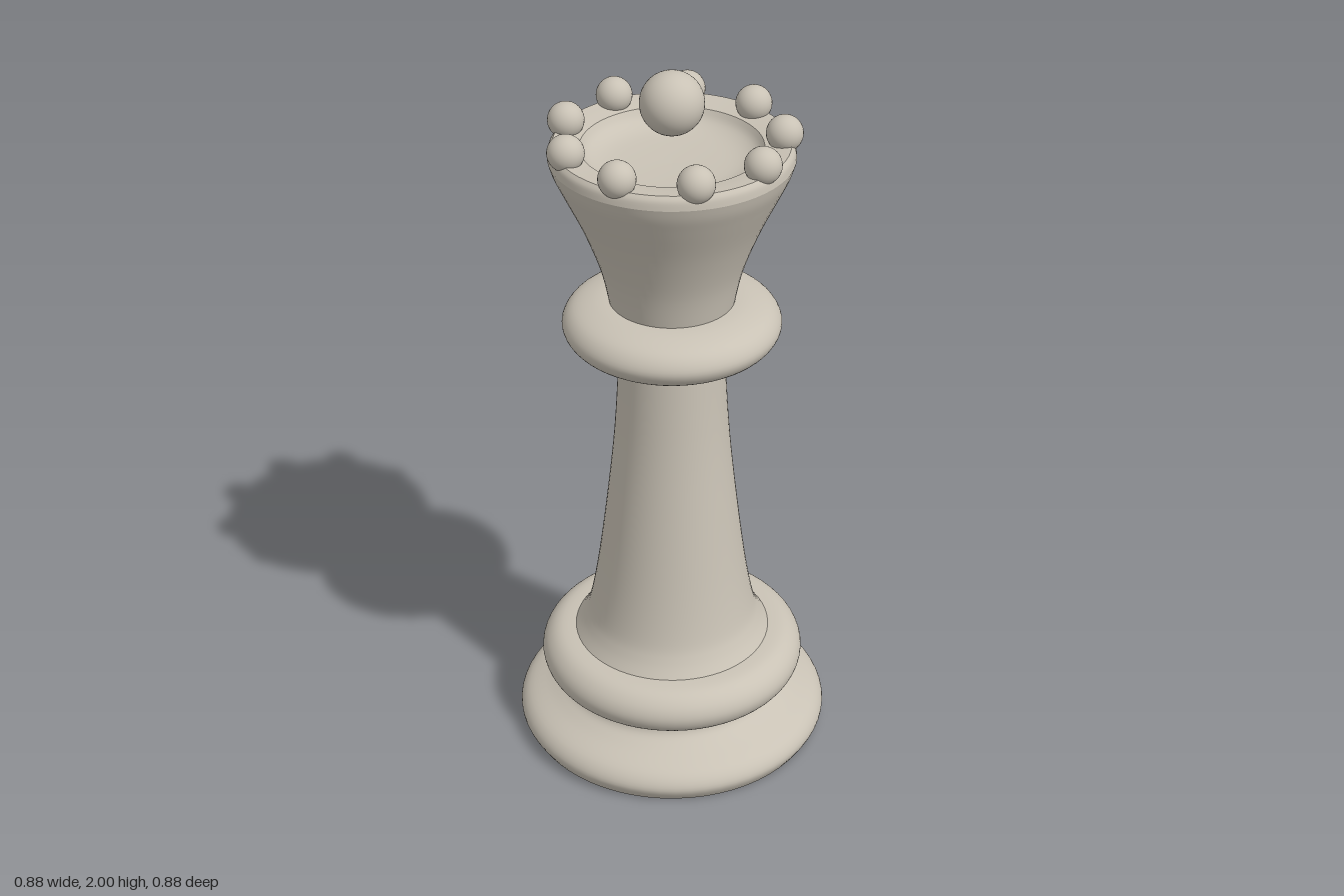
import * as THREE from 'three';

const SEGMENTS = 64;

export function createModel() {
  const group = new THREE.Group();
  const stone = new THREE.MeshStandardMaterial({ color: 0xc9c2b5 });
  stone.name = 'warmStone';

  const add = (name, geometry, x = 0, y = 0, z = 0) => {
    const mesh = new THREE.Mesh(geometry, stone);
    mesh.name = name;
    mesh.position.set(x, y, z);
    group.add(mesh);
  };

  // Turned part: a smooth curve through [radius, height] points, listed from bottom to top
  const turned = (name, points, steps = 24) => {
    const curve = new THREE.SplineCurve(points.map(([r, y]) => new THREE.Vector2(r, y)));
    add(name, new THREE.LatheGeometry(curve.getPoints(steps), SEGMENTS));
  };

  // Foot, with a flat underside
  const underside = new THREE.CircleGeometry(0.42, SEGMENTS);
  underside.rotateX(Math.PI / 2);
  add('underside', underside);
  turned('foot', [[0.42, 0], [0.438, 0.04], [0.415, 0.08], [0.35, 0.115], [0.315, 0.14], [0.305, 0.175]]);

  // Lower ring
  turned('lowerRing', [[0.25, 0.163], [0.315, 0.165], [0.355, 0.19], [0.37, 0.23],
    [0.355, 0.27], [0.315, 0.297], [0.24, 0.302]], 32);

  // Tapered stem
  turned('stem', [[0.278, 0.295], [0.25, 0.34], [0.229, 0.4], [0.203, 0.55], [0.172, 0.8],
    [0.153, 1.0], [0.14, 1.24]], 32);

  // Collar
  turned('collar', [[0.12, 1.223], [0.2, 1.226], [0.265, 1.25], [0.291, 1.293],
    [0.265, 1.337], [0.2, 1.36], [0.12, 1.363]], 32);

  // Flared head, bevelled rim and shallow dish
  turned('head', [[0.165, 1.355], [0.188, 1.46], [0.232, 1.58], [0.283, 1.69], [0.306, 1.74], [0.317, 1.775]]);
  turned('rimBevel', [[0.317, 1.775], [0.313, 1.797], [0.303, 1.81]], 8);
  turned('rim', [[0.303, 1.81], [0.27, 1.806], [0.235, 1.8]], 6);
  turned('dish', [[0.235, 1.8], [0.215, 1.775], [0.17, 1.758], [0.09, 1.752], [0, 1.75]], 16);

  // Crown: a large centre ball and nine beads on the rim
  add('crownBall', new THREE.SphereGeometry(0.083, 40, 24), 0, 1.917, 0);
  const bead = new THREE.SphereGeometry(0.048, 28, 18);
  for (let i = 0; i < 9; i++) {
    const a = (i / 9) * Math.PI * 2;
    add('crownBead', bead, 0.285 * Math.cos(a), 1.83, 0.285 * Math.sin(a));
  }
  return group;
}
